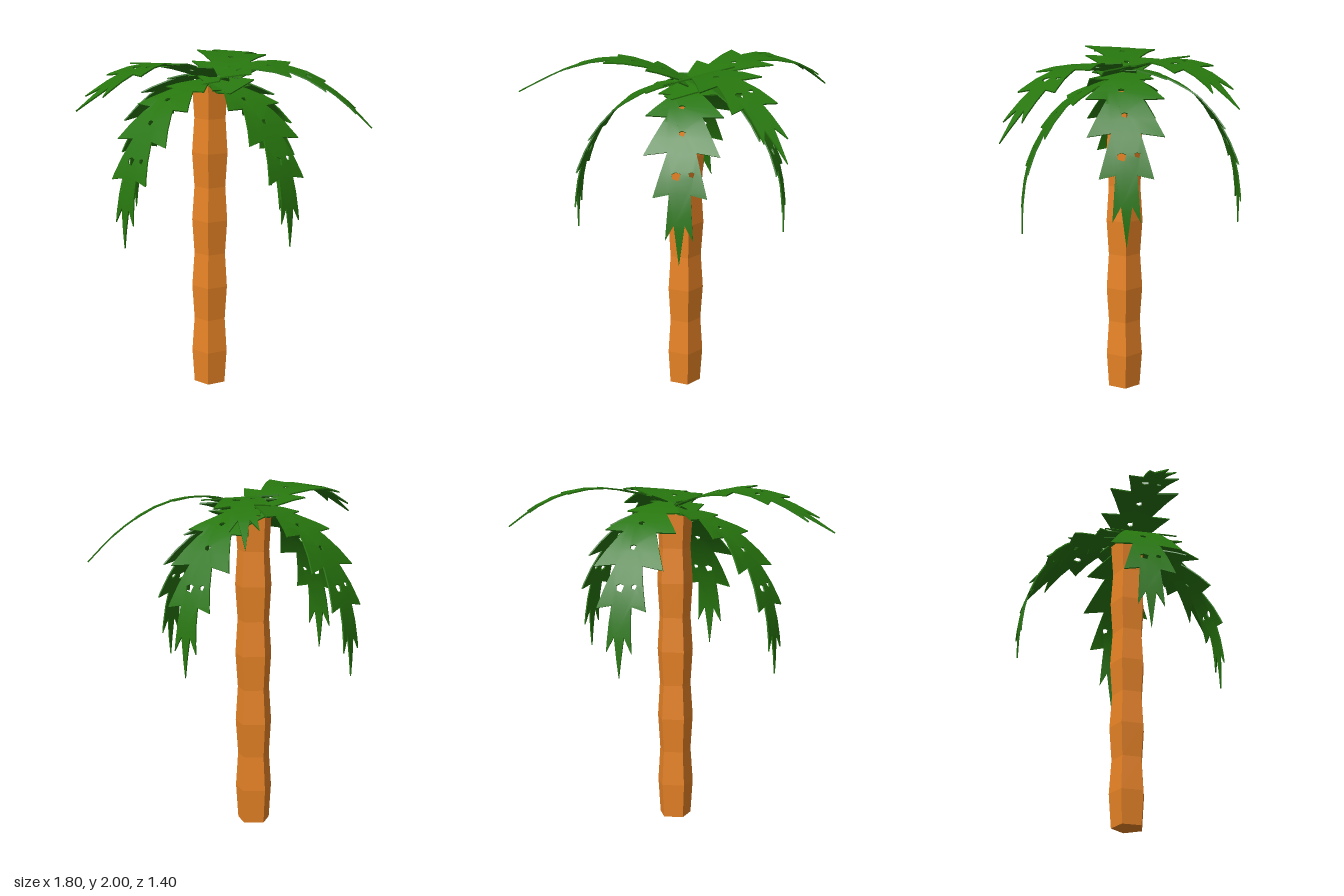
import * as THREE from 'three';
import { toCreasedNormals } from 'three/addons/utils/BufferGeometryUtils.js';

const LENGTH = 1.2, BAND = 0.1, THICK = 0.008;

// Right half of the leaf outline: [half width, distance along the leaf]
const OUTLINE = [
  [0.04, 0], [0.165, 0.17], [0.085, 0.18], [0.218, 0.36], [0.1, 0.365], [0.212, 0.6],
  [0.08, 0.58], [0.15, 0.83], [0.06, 0.81], [0.077, 1.06], [0.03, 0.975],
];
// Small torn holes: [side, along, size]
const HOLES = [[0.025, 0.71, 0.025], [-0.06, 0.7, 0.016], [0.005, 0.47, 0.018], [0.02, 0.29, 0.018]];

// Flat jagged leaf with holes, as a thin slab
function leafSlab() {
  const right = OUTLINE.map(([x, y]) => new THREE.Vector2(x, y));
  const left = OUTLINE.map(([x, y]) => new THREE.Vector2(-x, y)).reverse();
  const shape = new THREE.Shape([...right, new THREE.Vector2(0, LENGTH), ...left]);
  for (const [x, y, r] of HOLES) {
    shape.holes.push(new THREE.Path([
      new THREE.Vector2(x - r, y - r * 0.5), new THREE.Vector2(x - r * 0.6, y + r),
      new THREE.Vector2(x + r * 0.8, y + r * 0.6), new THREE.Vector2(x + r, y - r * 0.4),
      new THREE.Vector2(x + r * 0.1, y - r * 0.9),
    ]));
  }
  const geo = new THREE.ExtrudeGeometry(shape, { depth: THICK, bevelEnabled: false });
  geo.translate(0, 0, -THICK / 2);
  return geo;
}

// Keep the part of a convex polygon where sign * (y - limit) >= 0
function clip(poly, limit, sign) {
  const out = [];
  poly.forEach((a, i) => {
    const b = poly[(i + 1) % poly.length];
    const da = sign * (a.y - limit), db = sign * (b.y - limit);
    if (da >= 0) out.push(a);
    if (da * db < 0) out.push(a.clone().lerp(b, da / (da - db)));
  });
  return out;
}

// Slice the slab crosswise so that it can bend; returns triangle corners
function slicedLeaf() {
  const pos = leafSlab().attributes.position, corners = [];
  for (let i = 0; i < pos.count; i += 3) {
    const tri = [0, 1, 2].map((k) => new THREE.Vector3().fromBufferAttribute(pos, i + k));
    for (let y = 0; y < LENGTH - 1e-6; y += BAND) {
      const poly = clip(clip(tri, y, 1), y + BAND, -1);
      for (let k = 1; k < poly.length - 1; k++) {
        const [a, b, c] = [poly[0], poly[k], poly[k + 1]];
        const area = b.clone().sub(a).cross(c.clone().sub(a)).length();
        if (area > 1e-9) corners.push(a, b, c);
      }
    }
  }
  return corners;
}

// Bend the leaf along a profile (outward, height) leaving the origin in direction dir;
// roll is the sideways slope of the leaf
function bentLeaf(corners, { profile, origin: [ox, oy, oz], dir, roll = 0 }) {
  const curve = new THREE.SplineCurve(profile.map(([r, y]) => new THREE.Vector2(r, y)));
  const { x: dx, y: dz } = new THREE.Vector2(...dir).normalize();
  const array = [];
  for (const c of corners) {
    const t = THREE.MathUtils.clamp(c.y / LENGTH, 0, 1);
    const p = curve.getPointAt(t), tan = curve.getTangentAt(t);
    const lift = c.z + roll * c.x;
    const r = p.x - tan.y * lift;
    array.push(ox + dx * r - dz * c.x, oy + p.y + tan.x * lift, oz + dz * r + dx * c.x);
  }
  const geo = new THREE.BufferGeometry();
  geo.setAttribute('position', new THREE.Float32BufferAttribute(array, 3));
  return toCreasedNormals(geo, 0.6);
}

const DROOP = [[0, 1.86], [0.13, 1.83], [0.25, 1.78], [0.38, 1.69], [0.5, 1.53], [0.58, 1.35], [0.615, 1.15], [0.62, 0.95]];
const FRONDS = [
  { name: 'frontFrond', profile: DROOP, origin: [0.12, 0, -0.05], dir: [0, 1] },
  { name: 'backFrond', profile: DROOP, origin: [0.12, 0.04, -0.08], dir: [0, -1] },
  { name: 'leftFrond', profile: DROOP, origin: [0.06, 0.04, -0.025], dir: [1, 0.08] },
  { name: 'rightFrond', profile: DROOP, origin: [0.06, 0, -0.03], dir: [-1, -0.08] },
  { name: 'highRightFrond', origin: [0.09, 0, -0.03], dir: [-1, -0.05], roll: -0.06,
    profile: [[-0.13, 1.79], [0, 1.87], [0.19, 1.945], [0.44, 1.98], [0.69, 1.92], [0.99, 1.77]] },
  { name: 'highBackLeftFrond', origin: [0.155, 0, 0.04], dir: [0.79, -0.61], roll: -0.06,
    profile: [[-0.18, 1.8], [0.05, 1.9], [0.28, 1.965], [0.5, 1.975], [0.73, 1.91], [0.94, 1.77]] },
  { name: 'highFrontLeftFrond', origin: [0.06, 0, -0.01], dir: [0.67, 0.74], roll: -0.1,
    profile: [[-0.1, 1.83], [0.1, 1.9], [0.3, 1.945], [0.54, 1.9], [0.77, 1.76], [0.955, 1.58]] },
];

export function createModel() {
  const model = new THREE.Group();
  model.name = 'palmTree';

  // Five-sided trunk whose rings alternate narrow and wide
  const height = 1.84, rings = 9;
  const trunkGeo = new THREE.CylinderGeometry(1, 1, height, 5, rings, false, Math.PI / 2);
  trunkGeo.translate(0, height / 2, 0);
  const pos = trunkGeo.attributes.position;
  for (let i = 0; i < pos.count; i++) {
    const ring = Math.round((pos.getY(i) / height) * rings);
    const r = ring % 2 ? 0.111 : 0.097;
    pos.setXYZ(i, pos.getX(i) * r, pos.getY(i), pos.getZ(i) * r);
  }
  const trunk = new THREE.Mesh(trunkGeo, new THREE.MeshStandardMaterial({ color: 0xe98426, flatShading: true }));
  trunk.name = 'trunk';
  trunk.position.set(0.093, 0, -0.027);
  model.add(trunk);

  // Crown of fronds
  const crown = new THREE.Group();
  crown.name = 'crown';
  const green = new THREE.MeshStandardMaterial({ color: 0x27760e });
  const corners = slicedLeaf();
  for (const spec of FRONDS) {
    const frond = new THREE.Mesh(bentLeaf(corners, spec), green);
    frond.name = spec.name;
    crown.add(frond);
  }
  model.add(crown);
  return model;
}
